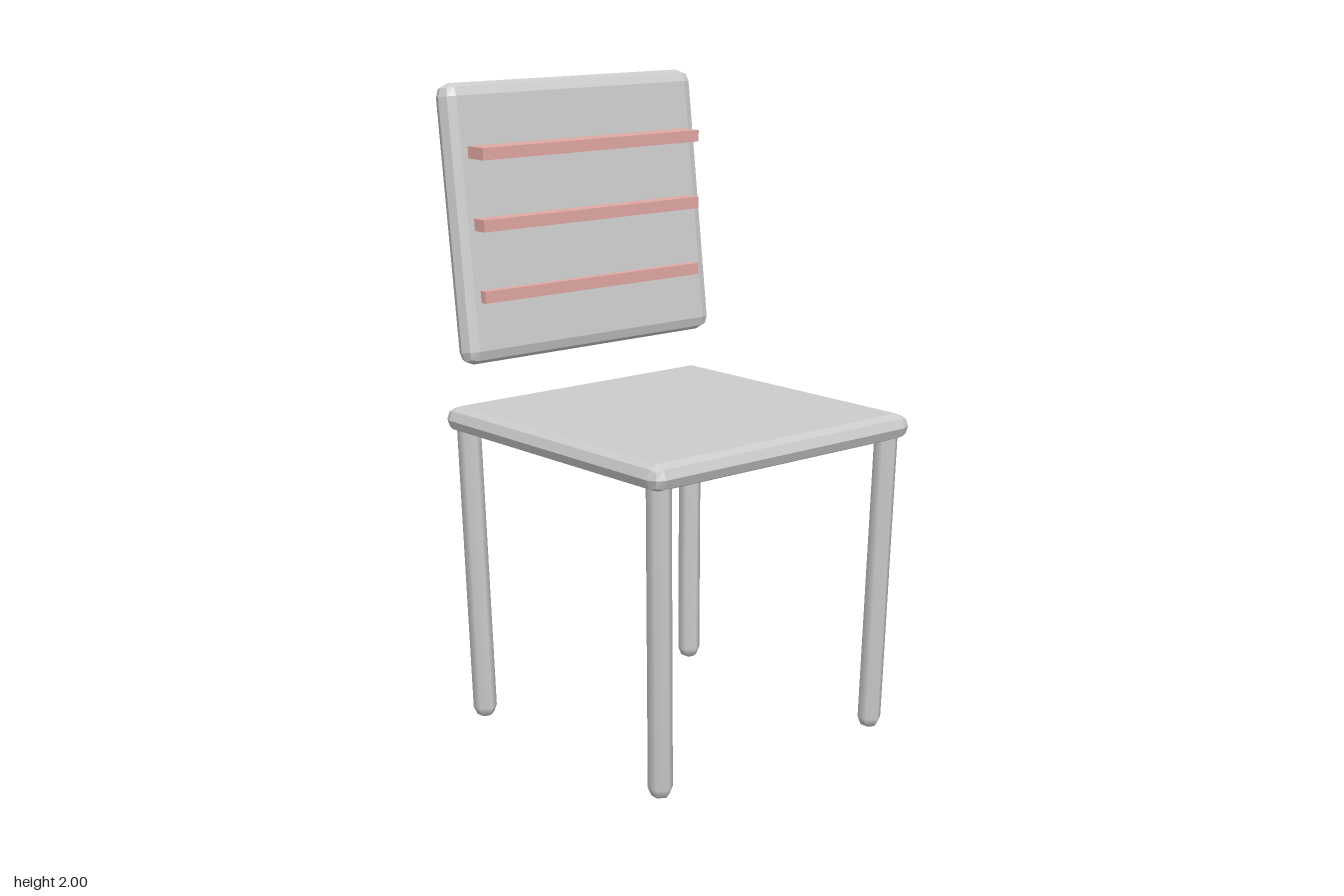
import * as THREE from 'three';
import { RoundedBoxGeometry } from 'three/addons/geometries/RoundedBoxGeometry.js';

export function createModel() {
  const model = new THREE.Group();
  const panelMat = new THREE.MeshStandardMaterial({ color: 0xcccccc, flatShading: true });
  const legMat = new THREE.MeshStandardMaterial({ color: 0xcccccc });
  const slatMat = new THREE.MeshStandardMaterial({ color: 0xe0a8a2 });

  function add(name, geometry, material, x, y, z) {
    const mesh = new THREE.Mesh(geometry, material);
    mesh.name = name;
    mesh.position.set(x, y, z);
    model.add(mesh);
    return mesh;
  }

  // Seat and tilted backrest: slabs with edges rounded in two facets
  const seatZ = 0.026;
  add('seat', new RoundedBoxGeometry(1.03, 0.08, 1.022, 1, 0.04), panelMat, 0, 0.975, seatZ);
  const back = add('backrest', new RoundedBoxGeometry(0.985, 0.855, 0.08, 1, 0.04), panelMat, 0, 1.575, -0.45);
  back.rotation.x = -0.122;

  // Slats across the front of the backrest
  [1.36, 1.578, 1.795].forEach((y, i) => {
    add('backSlat' + (i + 1), new THREE.BoxGeometry(0.86, 0.037, 0.077), slatMat, 0, y, -0.3985);
  });

  // Six-sided legs with rounded feet, splayed outward towards the seat
  const r = 0.037, legTop = 0.965, k = Math.SQRT1_2;
  const profile = [[0, 0], [r * k, r * (1 - k)], [r, r], [r, legTop], [0, legTop]]
    .map(([x, y]) => new THREE.Vector2(x, y));
  const legGeo = new THREE.LatheGeometry(profile, 6);
  const up = new THREE.Vector3(0, 1, 0);
  for (const sz of [1, -1]) {
    for (const sx of [1, -1]) {
      const name = (sz > 0 ? 'front' : 'back') + (sx > 0 ? 'Left' : 'Right') + 'Leg';
      const leg = add(name, legGeo, legMat, sx * 0.43, 0, seatZ + sz * 0.43);
      const dir = new THREE.Vector3(sx * 0.025, 0.96, sz * 0.024).normalize();
      leg.quaternion.setFromUnitVectors(up, dir);
    }
  }
  return model;
}
